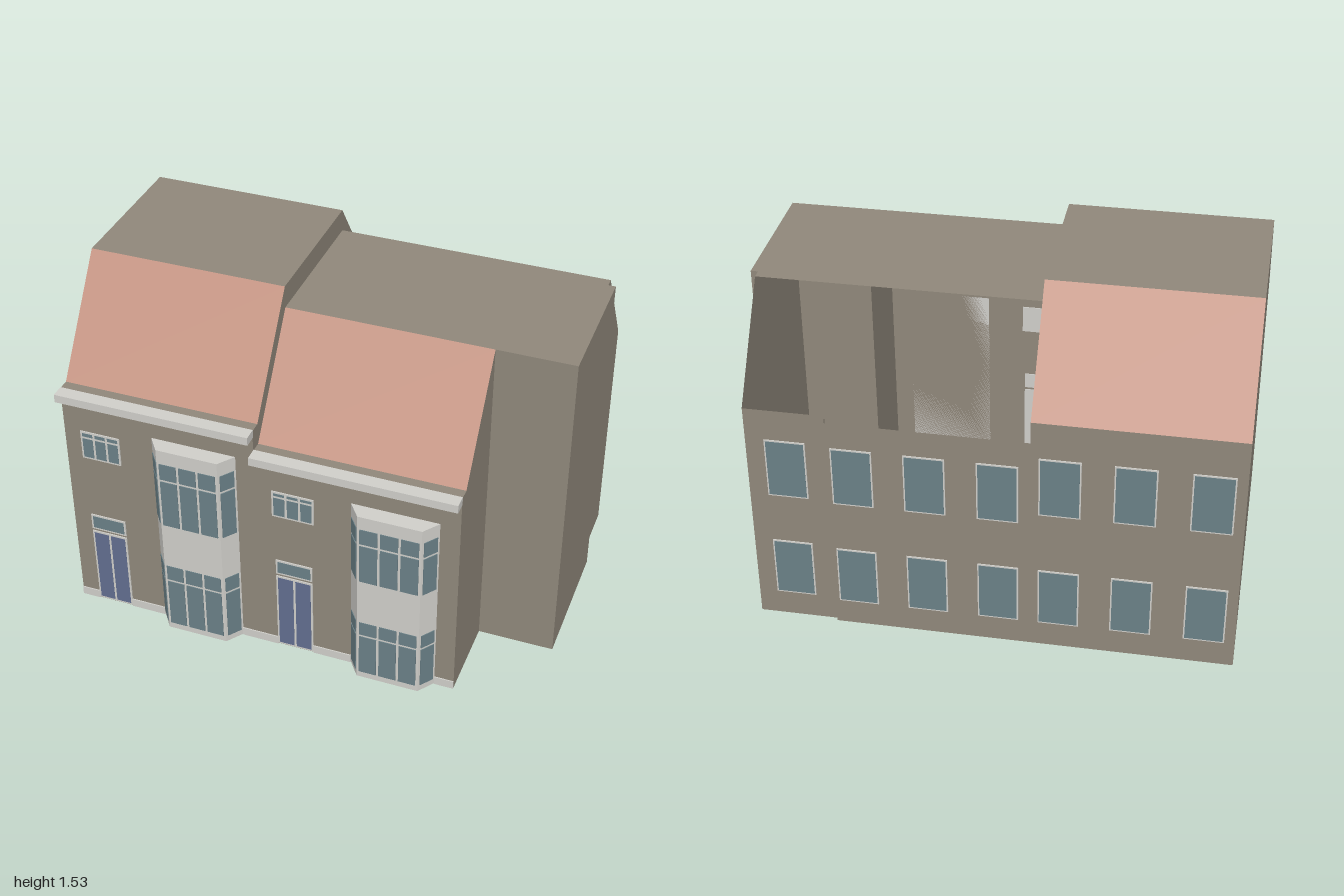
import * as THREE from 'three';

const mat = (name, color) => {
  const m = new THREE.MeshStandardMaterial({ color, side: THREE.DoubleSide });
  m.name = name;
  return m;
};

export function createModel() {
  const model = new THREE.Group();
  model.name = 'terracedHouses';
  const wall = mat('taupe brick', 0x90887b);
  const tile = mat('terracotta tile', 0xc2917f);
  const trim = mat('off-white trim', 0xd0cfca);
  const glass = mat('blue-grey glass', 0x6a8087);
  const doorBlue = mat('door blue', 0x626e90);

  // Flat polygon, fanned from its first corner, facing the direction "out"
  function poly(parent, name, material, pts, out) {
    const v = pts.map(p => new THREE.Vector3(...p));
    const n = new THREE.Vector3();
    for (let i = 1; i < v.length - 1; i++) {
      n.add(v[i].clone().sub(v[0]).cross(v[i + 1].clone().sub(v[0])));
    }
    if (n.dot(new THREE.Vector3(...out)) < 0) v.reverse().unshift(v.pop());
    const tris = [];
    for (let i = 1; i < v.length - 1; i++) tris.push(v[0], v[i], v[i + 1]);
    const g = new THREE.BufferGeometry().setFromPoints(tris);
    g.computeVertexNormals();
    const m = new THREE.Mesh(g, material);
    m.name = name;
    parent.add(m);
  }

  // Box given by its extents
  function slab(parent, name, material, x0, x1, y0, y1, z0, z1) {
    const m = new THREE.Mesh(new THREE.BoxGeometry(x1 - x0, y1 - y0, z1 - z0), material);
    m.position.set((x0 + x1) / 2, (y0 + y1) / 2, (z0 + z1) / 2);
    m.name = name;
    parent.add(m);
  }

  // Grid of thin panes: equal columns, rows split at the given heights
  function panes(parent, name, material, x0, x1, y0, y1, cols, splits, bar, z) {
    const ys = [y0 - bar / 2, ...splits, y1 + bar / 2];
    const w = (x1 - x0 + bar) / cols;
    for (let c = 0; c < cols; c++) {
      for (let r = 0; r < ys.length - 1; r++) {
        const left = x0 + c * w;
        slab(parent, name, material, left, left + w - bar, ys[r] + bar / 2, ys[r + 1] - bar / 2, z, z + 0.003);
      }
    }
  }

  // Framed opening on a wall plane at depth z
  function opening(parent, name, material, x0, x1, y0, y1, cols, splits, z, border = 0.008) {
    const g = new THREE.Group();
    g.name = name;
    slab(g, 'frame', trim, x0, x1, y0, y1, z - 0.004, z + 0.005);
    panes(g, 'pane', material, x0 + border, x1 - border, y0 + border, y1 - border, cols, splits, 0.01, z + 0.003);
    parent.add(g);
  }

  const F = 0.62, B = -0.685, L = 0.57, R0 = 0.26, R1 = -0.375;

  // Front wall, eaves ledge and tiled front slope shared by both houses
  function houseFront(g, x0, x1, eave, top) {
    poly(g, 'frontWall', wall, [[x0, 0, F], [x1, 0, F], [x1, eave, F], [x0, eave, F]], [0, 0, 1]);
    poly(g, 'eavesLedge', wall, [[x0, eave, F], [x1, eave, F], [x1, eave, L], [x0, eave, L]], [0, 1, 0]);
    poly(g, 'frontRoof', tile, [[x0, eave, L], [x1, eave, L], [x1, top, R0], [x0, top, R0]], [0, 1, 1]);
    slab(g, 'cornice', trim, x0, x1, eave - 0.033, eave + 0.003, F - 0.005, 0.672);
  }

  // Taller house
  const tall = new THREE.Group();
  tall.name = 'tallHouse';
  model.add(tall);
  const a0 = -1, a1 = -0.17, aE = 1.085, aT = 1.53;
  houseFront(tall, a0, a1, aE, aT);
  poly(tall, 'flatRoof', wall, [[a0, aT, R0], [a1, aT, R0], [a1, aT, R1], [a0, aT, R1]], [0, 1, 0]);
  poly(tall, 'backRoof', tile, [[a0, aT, R1], [a1, aT, R1], [a1, aE, B], [a0, aE, B]], [0, 1, -1]);
  poly(tall, 'backWall', wall, [[a0, 0, B], [a1, 0, B], [a1, aE, B], [a0, aE, B]], [0, 0, -1]);
  for (const x of [a0, a1]) {
    poly(tall, 'gableWall', wall, [[x, aE, L], [x, aT, R0], [x, aT, R1], [x, aE, B], [x, 0, B], [x, 0, F], [x, aE, F]],
      [x === a0 ? -1 : 1, 0, 0]);
  }
  poly(tall, 'floor', wall, [[a0, 0, F], [a1, 0, F], [a1, 0, B], [a0, 0, B]], [0, -1, 0]);

  // Lower house with its side wing; the rear roof slope is open
  const low = new THREE.Group();
  low.name = 'lowHouse';
  model.add(low);
  const b0 = -0.17, b1 = 0.68, bE = 0.99, bT = 1.435;
  const w0 = 0.64, w1 = 0.97, w2 = 1, J = -0.335, WB = -0.67, wE = 1.012;
  houseFront(low, b0, b1, bE, bT);
  poly(low, 'sideWall', wall, [[b1, bE, L], [b1, bT, R0], [b1, 0, R0], [b1, 0, F], [b1, bE, F]], [1, 0, 0]);
  poly(low, 'wingFrontWall', wall, [[b1, 0, R0], [w2, 0, R0], [w2, bT, R0], [b1, bT, R0]], [0, 0, 1]);
  poly(low, 'wingSideWall', wall, [[w2, 0, R0], [w2, 0, J], [w2, bT, J], [w2, bT, R0]], [1, 0, 0]);
  poly(low, 'wingStep', wall, [[w2, 0, J], [w1, 0, J], [w1, bT, J], [w2, bT, J]], [0, 0, -1]);
  poly(low, 'wingGable', wall, [[w1, 0, J], [w1, 0, WB], [w1, wE, WB], [w1, bT, R1], [w1, bT, J]], [1, 0, 0]);
  poly(low, 'wingBackWall', wall, [[w0, 0, WB], [w1, 0, WB], [w1, wE, WB], [w0, wE, WB]], [0, 0, -1]);
  poly(low, 'backStep', wall, [[w0, 0, B], [w0, 0, WB], [w0, wE, WB], [w0, bE, B]], [1, 0, 0]);
  poly(low, 'backWall', wall, [[b0, 0, B], [w0, 0, B], [w0, bE, B], [b0, bE, B]], [0, 0, -1]);
  for (const [y, up, name] of [[bT, 1, 'flatRoof'], [0, -1, 'floor']]) {
    const back = y ? R1 : WB;
    poly(low, name, wall, [[b0, y, R0], [w2, y, R0], [w2, y, J], [b0, y, J]], [0, up, 0]);
    poly(low, name, wall, [[b0, y, J], [w1, y, J], [w1, y, back], [b0, y, back]], [0, up, 0]);
  }
  poly(low, 'floor', wall, [[b0, 0, F], [b1, 0, F], [b1, 0, R0], [b0, 0, R0]], [0, -1, 0]);
  poly(low, 'floor', wall, [[b0, 0, WB], [w0, 0, WB], [w0, 0, B], [b0, 0, B]], [0, -1, 0]);

  // Two-storey canted bay; rows are [bottom, transom, top] of each window
  function bay(parent, x0, x1, height, rows) {
    const g = new THREE.Group();
    g.name = 'bayWindow';
    const zf = 0.688, c = 0.05;
    const plan = [[x0, F], [x0 + c, zf], [x1 - c, zf], [x1, F]];
    const shape = new THREE.Shape(plan.map(([x, z]) => new THREE.Vector2(x, -z)));
    const geo = new THREE.ExtrudeGeometry(shape, { depth: height, bevelEnabled: false });
    geo.rotateX(-Math.PI / 2);
    const body = new THREE.Mesh(geo, trim);
    body.name = 'bayBody';
    g.add(body);
    for (let i = 0; i < 3; i++) {
      const [px, pz] = plan[i], dx = plan[i + 1][0] - px, dz = plan[i + 1][1] - pz;
      const face = new THREE.Group();
      face.name = 'bayGlazing';
      face.position.set(px, 0, pz);
      face.rotation.y = -Math.atan2(dz, dx);
      for (const [bottom, transom, top] of rows) {
        panes(face, 'pane', glass, 0.01, Math.hypot(dx, dz) - 0.01, bottom, top, i === 1 ? 3 : 1, [transom], 0.011, 0);
      }
      g.add(face);
    }
    parent.add(g);
  }
  bay(tall, -0.61, -0.248, 0.94, [[0.03, 0.267, 0.345], [0.563, 0.793, 0.875]]);
  bay(low, 0.235, 0.598, 0.843, [[0.03, 0.23, 0.3], [0.518, 0.705, 0.782]]);

  // Doors, fanlights and small upper windows
  opening(tall, 'frontDoor', doorBlue, -0.92, -0.763, 0.006, 0.378, 2, [], F);
  opening(tall, 'fanlight', glass, -0.92, -0.763, 0.39, 0.465, 1, [], F);
  opening(tall, 'upperWindow', glass, -0.928, -0.755, 0.762, 0.896, 3, [0.867], F);
  opening(low, 'frontDoor', doorBlue, -0.088, 0.07, 0.006, 0.378, 2, [], F);
  opening(low, 'fanlight', glass, -0.088, 0.07, 0.39, 0.462, 1, [], F);
  opening(low, 'upperWindow', glass, -0.098, 0.08, 0.69, 0.815, 3, [0.79], F);

  // Plinth strips between the openings
  for (const [x0, x1, house] of [[-1, -0.92, tall], [-0.763, -0.61, tall], [-0.248, -0.17, tall],
    [-0.17, -0.088, low], [0.07, 0.235, low], [0.598, 0.68, low]]) {
    slab(house, 'plinth', trim, x0, x1, 0, 0.038, F - 0.004, F + 0.005);
  }

  // Rear windows: [centre x, wall z, upper sill height]
  const rear = new THREE.Group();
  rear.name = 'rearWindows';
  rear.rotation.y = Math.PI;
  model.add(rear);
  for (const [x, z, sill] of [[0.81, WB, 0.608], [0.54, B, 0.608], [0.25, B, 0.608], [-0.04, B, 0.608],
    [-0.285, B, 0.657], [-0.578, B, 0.657], [-0.875, B, 0.657]]) {
    for (const y of [0.115, sill]) {
      opening(rear, 'rearWindow', glass, -x - 0.083, -x + 0.083, y, y + 0.267, 1, [], -z, 0.006);
    }
  }
  return model;
}
